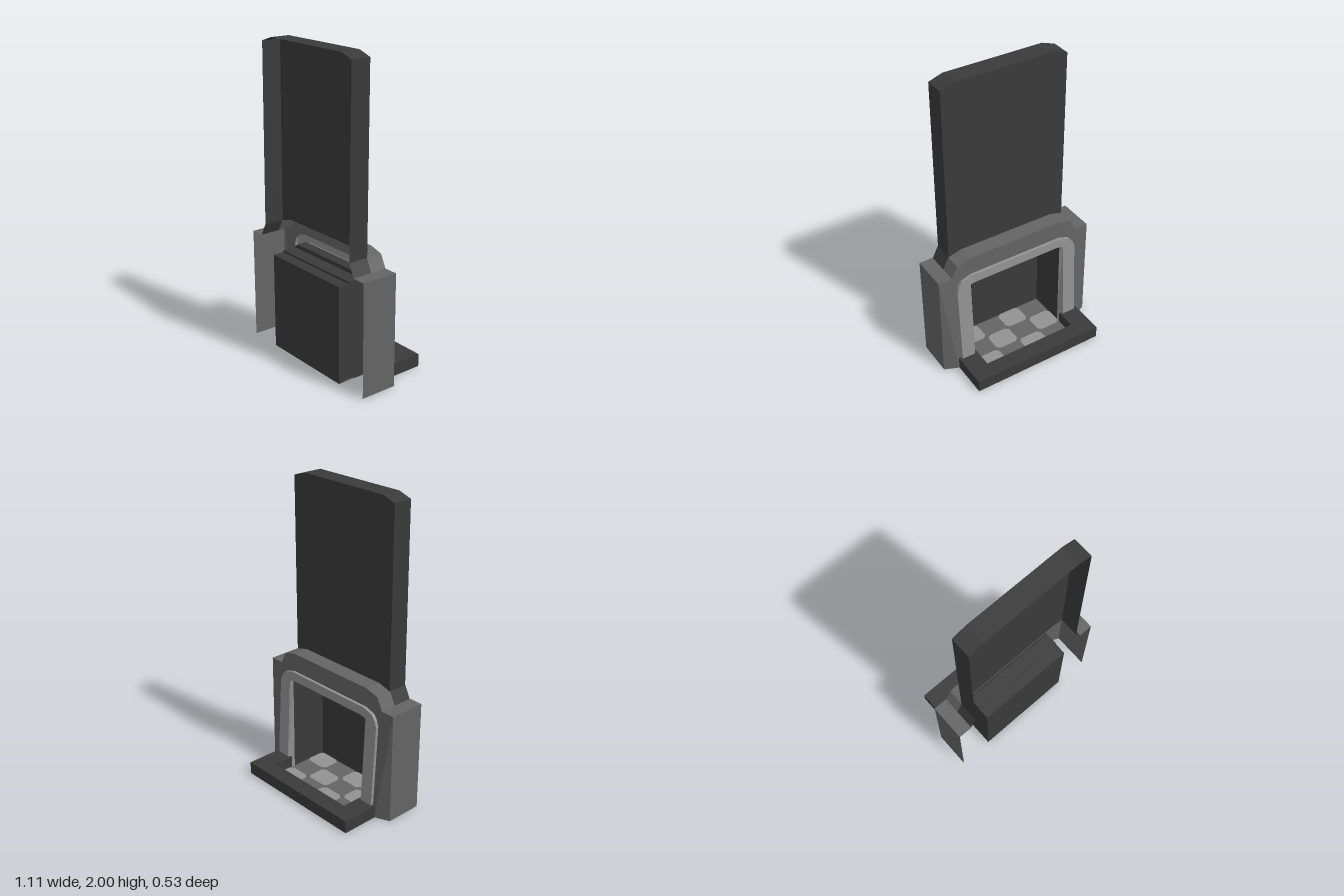
import * as THREE from 'three';

const paint = (name, color) =>
  Object.assign(new THREE.MeshStandardMaterial({ color, side: THREE.DoubleSide }), { name });

// Faceted open sheet stretched over a list of equally long cross-sections
function loft(sections) {
  const pos = [];
  for (let i = 0; i < sections.length - 1; i++) {
    const a = sections[i], b = sections[i + 1];
    for (let j = 0; j < a.length - 1; j++)
      pos.push(...a[j], ...a[j + 1], ...b[j + 1], ...a[j], ...b[j + 1], ...b[j]);
  }
  const g = new THREE.BufferGeometry();
  g.setAttribute('position', new THREE.Float32BufferAttribute(pos, 3));
  g.computeVertexNormals();
  return g;
}

// Half outline (+x, from the bottom up) mirrored into a full arch
const arch = half => [...half, ...half.slice().reverse().map(([x, y]) => [-x, y])];
const atZ = (outline, z) => outline.map(([x, y]) => [x, y, typeof z === 'function' ? z(y) : z]);

export function createModel() {
  const root = new THREE.Group();
  root.name = 'fireplace';
  const soot = paint('dark slate', 0x3a3a3a);
  const stone = paint('mid grey stone', 0x646464);
  const pale = paint('pale grey trim', 0x929292);
  const add = (name, geometry, material) => {
    const m = new THREE.Mesh(geometry, material);
    m.name = name;
    root.add(m);
    return m;
  };
  const box = (name, w, h, d, x, y, z, material) =>
    add(name, new THREE.BoxGeometry(w, h, d), material).position.set(x, y, z);

  // The surround leans forward towards the floor, and the trim stands proud of it
  const lean = y => 0.022 - 0.04 * Math.max(0, 0.73 - y) / 0.73;
  const proud = y => lean(y) - 0.02;

  const breast = arch([[0.46, 0], [0.46, 0.63], [0.46, 0.73], [0.42, 0.81], [0.33, 0.835]]);
  const trimOuter = arch([[0.44, 0], [0.44, 0.62], [0.425, 0.66], [0.4, 0.69], [0.33, 0.713]]);
  const trimInner = arch([[0.35, 0], [0.35, 0.625], [0.35, 0.64], [0.34, 0.65], [0.3, 0.655]]);
  const mouth = arch([[0.33, 0], [0.33, 0.625], [0.33, 0.64], [0.33, 0.65], [0.3, 0.655]]);

  // Surround front and the ledge over it
  add('surroundFront', loft([atZ(breast, lean), atZ(trimOuter, lean)]), stone);
  const shoulder = arch([[0.46, 0.73], [0.42, 0.81], [0.33, 0.835]]);
  add('mantelLedge', loft([atZ(shoulder, 0.022), atZ(shoulder, 0.13)]), stone);

  // Side columns: slanted front, shoulder and outer wall, open at the back
  for (const s of [1, -1]) {
    add('columnFront', loft([
      [[s * 0.46, 0, lean(0)], [s * 0.46, 0.73, 0.022]],
      [[s * 0.553, 0, 0.022], [s * 0.553, 0.73, 0.022]],
    ]), stone);
    const side = [[s * 0.46, 0.73], [s * 0.553, 0.73], [s * 0.553, 0]];
    add('columnSide', loft([atZ(side, 0.022), atZ(side, 0.265)]), stone);
    // Flared foot of the chimney
    const foot = [[s * 0.46, 0.73], [s * 0.42, 0.81]];
    add('chimneyFoot', loft([atZ(foot, 0.13), atZ(foot, 0.262)]), soot);
  }

  // Pale trim: outer edge, face and inner return
  add('openingTrim', loft([atZ(trimOuter, lean), atZ(trimOuter, proud), atZ(trimInner, proud)]), pale);
  add('trimReturn', loft([atZ(trimInner, proud), atZ(mouth, 0.02)]), pale);

  // Chimney: front, sides and top, open at the back
  const xs = [-0.42, -0.33, 0.33, 0.42];
  const rim = (y, drop, z) => xs.map(x => [x, Math.abs(x) > 0.4 ? y - drop : y, z]);
  add('chimneyFront', loft([rim(0.835, 0.025, 0.128), rim(2, 0.03, 0.12)]), soot);
  add('chimneyTop', loft([rim(2, 0.03, 0.12), rim(2, 0.03, 0.25)]), soot);
  for (const x of [-0.42, 0.42])
    add('chimneySide', loft([
      [[x, 0.81, 0.128], [x, 0.81, 0.26]],
      [[x, 1.97, 0.12], [x, 1.97, 0.25]],
    ]), soot);

  // Firebox with a stepped ceiling rising to the throat
  const ceiling = [[0.33, 0.65, 0.01], [0.3, 0.672, 0.03], [0.3, 0.672, 0.1],
    [0.33, 0.645, 0.1], [0.33, 0.645, 0.19], [0.33, 0.632, 0.19], [0.33, 0.632, 0.263]];
  add('fireboxShell', loft(ceiling.map(([w, y, z]) =>
    [[-0.33, 0, z], [-0.33, Math.min(y, 0.645), z], [-w, y, z], [w, y, z],
      [0.33, Math.min(y, 0.645), z], [0.33, 0, z]])), soot);
  add('fireboxBack', new THREE.PlaneGeometry(0.66, 0.632), soot).position.set(0, 0.316, 0.263);

  // Raised hearth frame round the sunken floor
  box('hearthFront', 0.92, 0.083, 0.11, 0, 0.0415, -0.21, soot);
  for (const s of [1, -1])
    box('hearthArm', 0.13, 0.083, 0.14, s * 0.395, 0.0415, -0.085, soot);

  // Chequered floor: grey sheet with pale clipped tiles, seen from both sides
  const w = 0.165, d = 0.139, c = 0.022;
  const floor = add('floor', new THREE.PlaneGeometry(0.66, 0.417).rotateX(-Math.PI / 2), stone);
  floor.position.set(0, 0.004, 0.0545);
  const tile = new THREE.Shape([[-1, -1, 1, 0], [1, -1, -1, 0], [1, -1, 0, 1], [1, 1, 0, -1],
    [1, 1, -1, 0], [-1, 1, 1, 0], [-1, 1, 0, -1], [-1, -1, 0, 1]]
    .map(([x, y, i, j]) => new THREE.Vector2(x * w / 2 + i * c, y * d / 2 + j * c)));
  const tileGeometry = new THREE.ExtrudeGeometry(tile, { depth: 0.006, bevelEnabled: false })
    .rotateX(-Math.PI / 2);
  for (let row = 0; row < 3; row++)
    for (let col = 0; col < 4; col++)
      if ((row + col) % 2)
        add('floorTile', tileGeometry, pale)
          .position.set(-0.33 + w * (col + 0.5), 0.001, -0.154 + d * (row + 0.5));

  return root;
}
